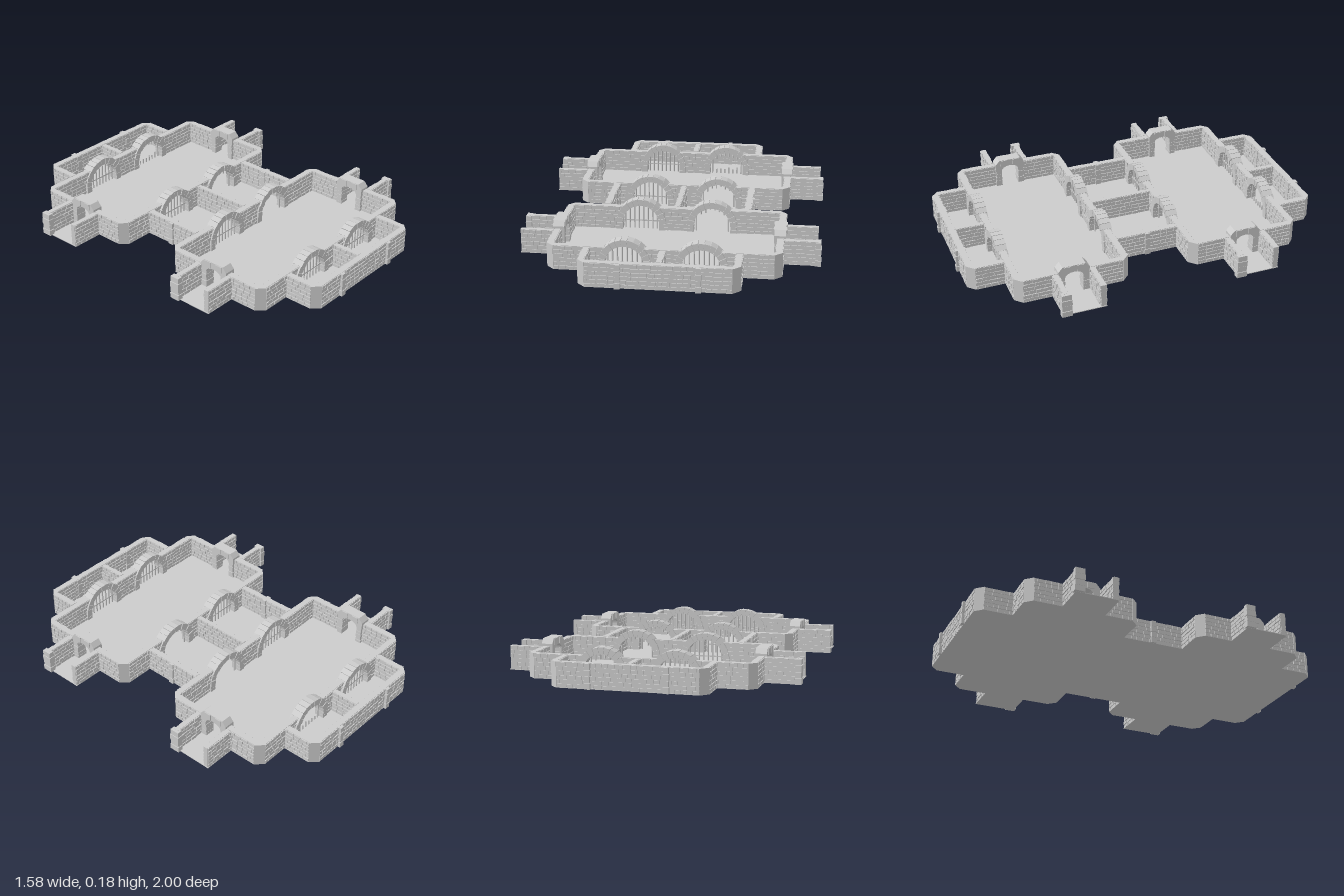
import * as THREE from 'three';
import { mergeGeometries } from 'three/addons/utils/BufferGeometryUtils.js';

const H = 0.13, COURSES = 6, T = 0.04;   // wall height, brick courses, wall thickness
const SPRING = 0.042, R_IN = 0.1, R_OUT = 0.135;   // large arch
const mat = new THREE.MeshStandardMaterial({ color: 0xcccccc, flatShading: true });

export function createModel() {
  const model = new THREE.Group();
  let seed = 7;
  const rand = () => (seed = (seed * 16807) % 2147483647) / 2147483647;
  const jitter = (amount) => (rand() - 0.5) * 2 * amount;
  const box = (w, h, d, x, y, z) => new THREE.BoxGeometry(w, h, d).translate(x, y, z);

  function add(name, parts, parent = model) {
    const geo = mergeGeometries(parts.map((g) => (g.index ? g.toNonIndexed() : g)));
    geo.computeVertexNormals();
    const mesh = new THREE.Mesh(geo, mat);
    mesh.name = name;
    parent.add(mesh);
    return mesh;
  }
  function prism(points, depth) {
    const shape = new THREE.Shape(points.map(([x, y]) => new THREE.Vector2(x, y)));
    return new THREE.ExtrudeGeometry(shape, { depth, bevelEnabled: false });
  }
  // Plan outline in x, z raised from y = 0
  const planPrism = (points, height) =>
    prism(points.map(([x, z]) => [x, -z]), height).rotateX(-Math.PI / 2);

  // Brick wall: every course is a mortar strip with bricks, cut around the openings
  function wall(name, alongZ, fixed, a, b, t = T, openings = []) {
    const parts = [], ch = H / COURSES;
    for (let row = 0; row < COURSES; row++) {
      const y = (row + 0.5) * ch;
      const cuts = [a];
      for (const o of openings) cuts.push(o.at - o.half(y), o.at + o.half(y));
      cuts.push(b);
      for (let i = 0; i < cuts.length; i += 2) {
        const u0 = cuts[i], u1 = cuts[i + 1];
        parts.push(box(u1 - u0, ch, t - 0.009, (u0 + u1) / 2, y, 0));
        let u = u0, first = true;
        while (u < u1 - 0.001) {
          let w = 0.036 + jitter(0.008);
          if (first && row % 2) w *= 0.5;
          if (u1 - u - w < 0.014) w = u1 - u;
          parts.push(box(w - 0.004, ch - 0.004, t + jitter(0.004), u + w / 2, y, 0));
          u += w;
          first = false;
        }
      }
    }
    const mesh = add(name, parts);
    if (alongZ) {
      mesh.rotation.y = -Math.PI / 2;
      mesh.position.x = fixed;
    } else mesh.position.z = fixed;
  }

  // Smooth bevelled corner joining two walls; (x, z) is the outer corner
  function corner(x, z) {
    const sx = Math.sign(x), sz = Math.sign(z), cz = Math.abs(z) < 0.3 ? -sz : sz;
    const pts = [[x - sx * T, z - cz * T], [x, z - cz * T], [x - sx * T, z]];
    if (sx * cz > 0) pts.reverse();
    const area = THREE.ShapeUtils.area(pts.map(([px, pz]) => new THREE.Vector2(px, -pz)));
    if (area < 0) pts.reverse();
    add('wallCorner', [planPrism(pts, H)]);
  }

  // Stacked stone post
  function post(x, z, w, d) {
    const parts = [];
    for (let i = 0; i < 4; i++)
      parts.push(box(w - (i % 2) * 0.004, H / 4 - 0.002, d - (i % 2) * 0.004, x, (i + 0.5) * H / 4, z));
    add('wallPost', parts);
  }

  // Wide arch of wedge stones with a barred gate
  function cellArch(x, z, broken) {
    const group = new THREE.Group();
    group.name = 'cellArch';
    group.position.set(x, 0, z);
    const stones = [], n = 13, mid = (R_IN + R_OUT) / 2;
    for (let i = 0; i < n; i++) {
      const ang = ((i + 0.5) / n - 0.5) * Math.PI;
      const g = new THREE.BoxGeometry(0.0255, R_OUT - R_IN + jitter(0.002), 0.058 + jitter(0.004));
      const p = g.attributes.position;
      for (let k = 0; k < p.count; k++) p.setX(k, p.getX(k) * (p.getY(k) > 0 ? 1.18 : 0.88));
      stones.push(g.translate(0, mid, 0).rotateZ(-ang).translate(0, SPRING, 0));
    }
    const ring = new THREE.Shape();
    ring.absarc(0, SPRING, R_OUT - 0.005, 0, Math.PI, false);
    ring.absarc(0, SPRING, R_IN + 0.003, Math.PI, 0, true);
    stones.push(new THREE.ExtrudeGeometry(ring, { depth: 0.048, bevelEnabled: false, curveSegments: 16 })
      .translate(0, 0, -0.024));
    for (const s of [-1, 1]) for (let i = 0; i < 2; i++)
      stones.push(box(0.035, 0.02, 0.056 + jitter(0.003), s * mid, 0.0105 + i * 0.021, 0));
    add('archStones', stones, group);

    // Upright bars, snapped short in the middle of a broken gate
    const bars = [];
    const bar = (bx, y0, y1) =>
      bars.push(new THREE.CylinderGeometry(0.0045, 0.0045, y1 - y0, 6).translate(bx, (y0 + y1) / 2, 0));
    for (let i = 0; i < 8; i++) {
      const bx = (i - 3.5) * 0.025, top = SPRING + Math.sqrt(0.103 ** 2 - bx ** 2);
      if (broken && i > 0 && i < 7) {
        if (broken === 1) bar(bx, 0, 0.02 + rand() * 0.025);
        bar(bx, top - 0.015 - rand() * 0.02, top);
      } else bar(bx, 0, top);
    }
    if (!broken) bars.push(box(0.2, 0.007, 0.006, 0, 0.05, 0));
    add('gateBars', bars, group);
    model.add(group);
  }

  // Narrow doorway with stone jambs and a bevelled arched lintel
  function doorway(x, z) {
    const parts = [];
    for (const s of [-1, 1]) for (let i = 0; i < 5; i++)
      parts.push(box(0.033 + jitter(0.003), 0.019, 0.058 + jitter(0.004), s * 0.0655, 0.01 + i * 0.02, 0));
    const lintel = [[0.05, 0.1], [0.085, 0.1], [0.085, 0.142], [0.062, 0.168],
      [-0.062, 0.168], [-0.085, 0.142], [-0.085, 0.1], [-0.05, 0.1]];
    for (let i = 7; i > 0; i--) {
      const a = (i / 8) * Math.PI;
      lintel.push([0.05 * Math.cos(a), 0.1 + 0.03 * Math.sin(a)]);
    }
    parts.push(prism(lintel, 0.06).translate(0, 0, -0.03));
    for (const s of [-1, 1]) parts.push(box(0.04, 0.034, 0.069, s * 0.035, 0.149, 0));
    const mesh = add('doorway', parts);
    mesh.rotation.y = Math.PI / 2;
    mesh.position.set(x, 0, z);
  }

  // Floor: half outline on the +x side, mirrored to the other side
  const quarter = [[0.365, 0.985], [0.405, 0.945], [0.405, 0.79], [0.56, 0.79], [0.6, 0.75],
    [0.6, 0.597], [0.775, 0.597], [0.775, 0.363], [0.6, 0.363], [0.6, 0.21], [0.56, 0.17], [0.405, 0.17]];
  const half = [...quarter, ...quarter.map(([x, z]) => [x, -z]).reverse()];
  add('floor', [planPrism([...half, ...half.map(([x, z]) => [-x, z]).reverse()], 0.004)]);

  const archHalf = (y) => (y < SPRING ? 0.115 : Math.sqrt(0.115 ** 2 - (y - SPRING) ** 2));
  const arches = [-0.195, 0.195].map((at) => ({ at, half: archHalf }));

  for (const s of [-1, 1]) {
    const span = (lo, hi) => (s > 0 ? [lo, hi] : [-hi, -lo]);
    // Room walls running across, with two arches each
    for (const z of [0.19, 0.77]) {
      wall('roomWall', false, s * z, -0.56, 0.56, T, arches);
      for (const { at } of arches) {
        const whole = at < 0 || (s > 0 && z > 0.5);
        cellArch(at, s * z, whole ? 0 : z > 0.5 ? 1 : 2);
      }
    }
    // Outer cells
    wall('cellEndWall', false, s * 0.965, -0.365, 0.365);
    wall('cellDivider', true, 0, ...span(0.79, 0.945), 0.032);

    for (const side of [-1, 1]) {
      wall('roomSideWall', true, side * 0.58, ...span(0.21, 0.75), T,
        [{ at: s * 0.48, half: () => 0.065 }]);
      doorway(side * 0.576, s * 0.48);
      wall('cellSideWall', true, side * 0.386, ...span(0.79, 0.945), 0.038);
      post(side * 0.2, s * 0.97, 0.03, 0.06);
      corner(side * 0.6, s * 0.17);
      corner(side * 0.6, s * 0.79);
      corner(side * 0.405, s * 0.985);
      // Short entrance passage
      for (const dz of [-0.1, 0.1]) {
        const [a, b] = side > 0 ? [0.6, 0.772] : [-0.772, -0.6];
        wall('passageWall', false, s * 0.48 + dz, a, b, 0.034);
      }
      post(side * 0.774, s * 0.48 + side * 0.1, 0.032, 0.056);
    }
  }

  // Middle cells
  for (const side of [-1, 1]) {
    wall('middleSideWall', true, side * 0.386, -0.17, 0.17, 0.038);
    post(side * 0.388, 0, 0.056, 0.03);
  }
  wall('middleDivider', true, 0, -0.17, 0.17, 0.032);

  return model;
}
